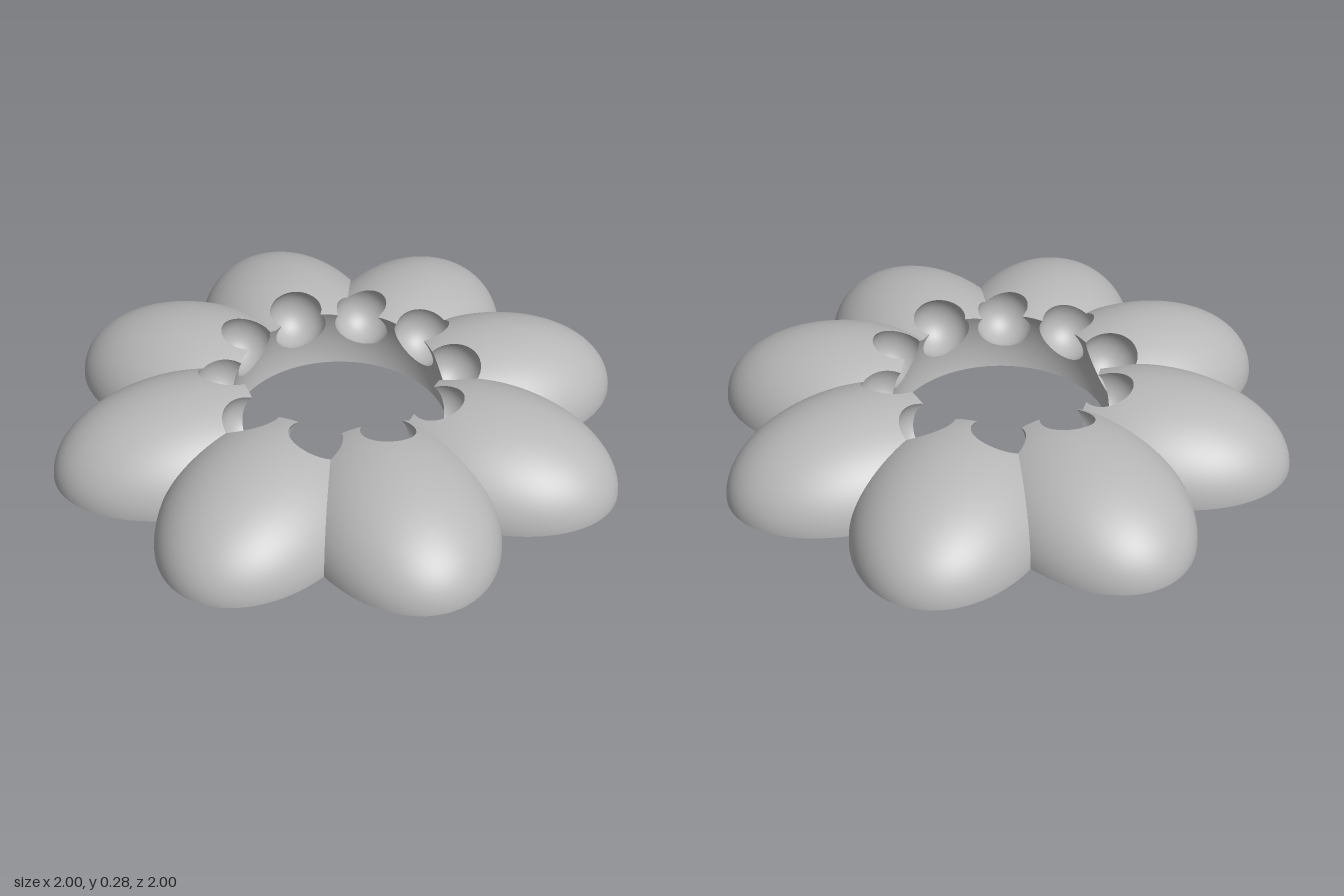
import * as THREE from 'three';

const PETALS = 8, SCOOPS = 10;
const petal = { r: 0.56, a: 0.502, h: 0.282, b: 0.349 };   // ellipsoid centre radius and semi-axes
const core = { c: new THREE.Vector3(0, 0.065, 0), r: 0.4 };  // round central opening
const scoopR = 0.112;
const tanHalf = Math.tan(Math.PI / PETALS);

const petalAngles = Array.from({ length: PETALS }, (_, i) => (i + 0.5) * 2 * Math.PI / PETALS);
const scoopCentres = Array.from({ length: SCOOPS }, (_, i) => {
  const t = i * 2 * Math.PI / SCOOPS;
  return new THREE.Vector3(0.415 * Math.cos(t), 0.2, 0.415 * Math.sin(t));
});

// Fields: positive where a surface is kept
const radial = (p, t) => p.x * Math.cos(t) + p.z * Math.sin(t);
const tangent = (p, t) => p.z * Math.cos(t) - p.x * Math.sin(t);
const inPetal = (p, t) => 1 - ((radial(p, t) - petal.r) / petal.a) ** 2
  - (tangent(p, t) / petal.b) ** 2 - (p.y / petal.h) ** 2;
const inPetals = p => Math.max(...petalAngles.map(t => inPetal(p, t)));
const outsideCore = p => p.distanceTo(core.c) - core.r;
const outsideScoops = scoopCentres.map(c => p => p.distanceTo(c) - scoopR);
const aboveGround = p => p.y;

// Cut one polygon by a field, finding each crossing by bisection
function cutPolygon(poly, field) {
  const out = [];
  const values = poly.map(v => field(v.p));
  poly.forEach((v, i) => {
    const j = (i + 1) % poly.length, w = poly[j];
    const keep = values[i] >= 0;
    if (keep) out.push(v);
    if (keep !== (values[j] >= 0)) {
      let lo = 0, hi = 1;
      const q = new THREE.Vector3();
      for (let k = 0; k < 18; k++) {
        const mid = (lo + hi) / 2;
        if ((field(q.lerpVectors(v.p, w.p, mid)) >= 0) === keep) lo = mid; else hi = mid;
      }
      out.push({
        p: v.p.clone().lerp(w.p, lo),
        n: v.n.clone().lerp(w.n, lo).normalize(),
      });
    }
  });
  return out;
}

// Trim a geometry by several fields, keeping smooth normals; inward turns it inside out
function trim(geometry, fields, inward = false) {
  const g = geometry.toNonIndexed();
  const P = g.attributes.position, N = g.attributes.normal;
  const positions = [], normals = [];
  for (let i = 0; i < P.count; i += 3) {
    let poly = [0, 1, 2].map(k => ({
      p: new THREE.Vector3().fromBufferAttribute(P, i + k),
      n: new THREE.Vector3().fromBufferAttribute(N, i + k),
    }));
    for (const field of fields) {
      poly = cutPolygon(poly, field);
      if (poly.length < 3) break;
    }
    for (let k = 1; k + 1 < poly.length; k++) {
      const tri = inward ? [poly[0], poly[k + 1], poly[k]] : [poly[0], poly[k], poly[k + 1]];
      for (const v of tri) {
        const s = inward ? -1 : 1;
        positions.push(v.p.x, v.p.y, v.p.z);
        normals.push(v.n.x * s, v.n.y * s, v.n.z * s);
      }
    }
  }
  const result = new THREE.BufferGeometry();
  result.setAttribute('position', new THREE.Float32BufferAttribute(positions, 3));
  result.setAttribute('normal', new THREE.Float32BufferAttribute(normals, 3));
  return result;
}

export function createModel() {
  const group = new THREE.Group();
  group.name = 'flowerRing';
  const grey = new THREE.MeshStandardMaterial({ color: 0xb8b8b8 });
  grey.name = 'grey';
  const add = (geometry, name) => {
    const mesh = new THREE.Mesh(geometry, grey);
    mesh.name = name;
    group.add(mesh);
  };

  // Domed petals, mitred against their neighbours
  petalAngles.forEach((t, i) => {
    const dome = new THREE.SphereGeometry(1, 80, 28, 0, Math.PI * 2, 0, Math.PI / 2);
    dome.scale(petal.a, petal.h, petal.b);
    dome.translate(petal.r, 0, 0);
    dome.rotateY(-t);
    add(trim(dome, [
      p => radial(p, t) * tanHalf - tangent(p, t),
      p => radial(p, t) * tanHalf + tangent(p, t),
      outsideCore, ...outsideScoops,
    ]), `petal${i + 1}`);
  });

  // Rounded wall of the central opening
  const wall = new THREE.SphereGeometry(core.r, 160, 60);
  wall.translate(core.c.x, core.c.y, core.c.z);
  add(trim(wall, [aboveGround, inPetals, ...outsideScoops], true), 'innerWall');

  // Bowl-shaped scoops around the rim
  scoopCentres.forEach((c, i) => {
    const bowl = new THREE.SphereGeometry(scoopR, 48, 28);
    bowl.translate(c.x, c.y, c.z);
    add(trim(bowl, [inPetals, outsideCore], true), `scoop${i + 1}`);
  });

  // Flat underside
  const holeR = Math.sqrt(core.r ** 2 - core.c.y ** 2);
  const base = new THREE.RingGeometry(holeR, 1.1, 160, 8);
  base.rotateX(Math.PI / 2);
  add(trim(base, [inPetals]), 'underside');

  return group;
}
